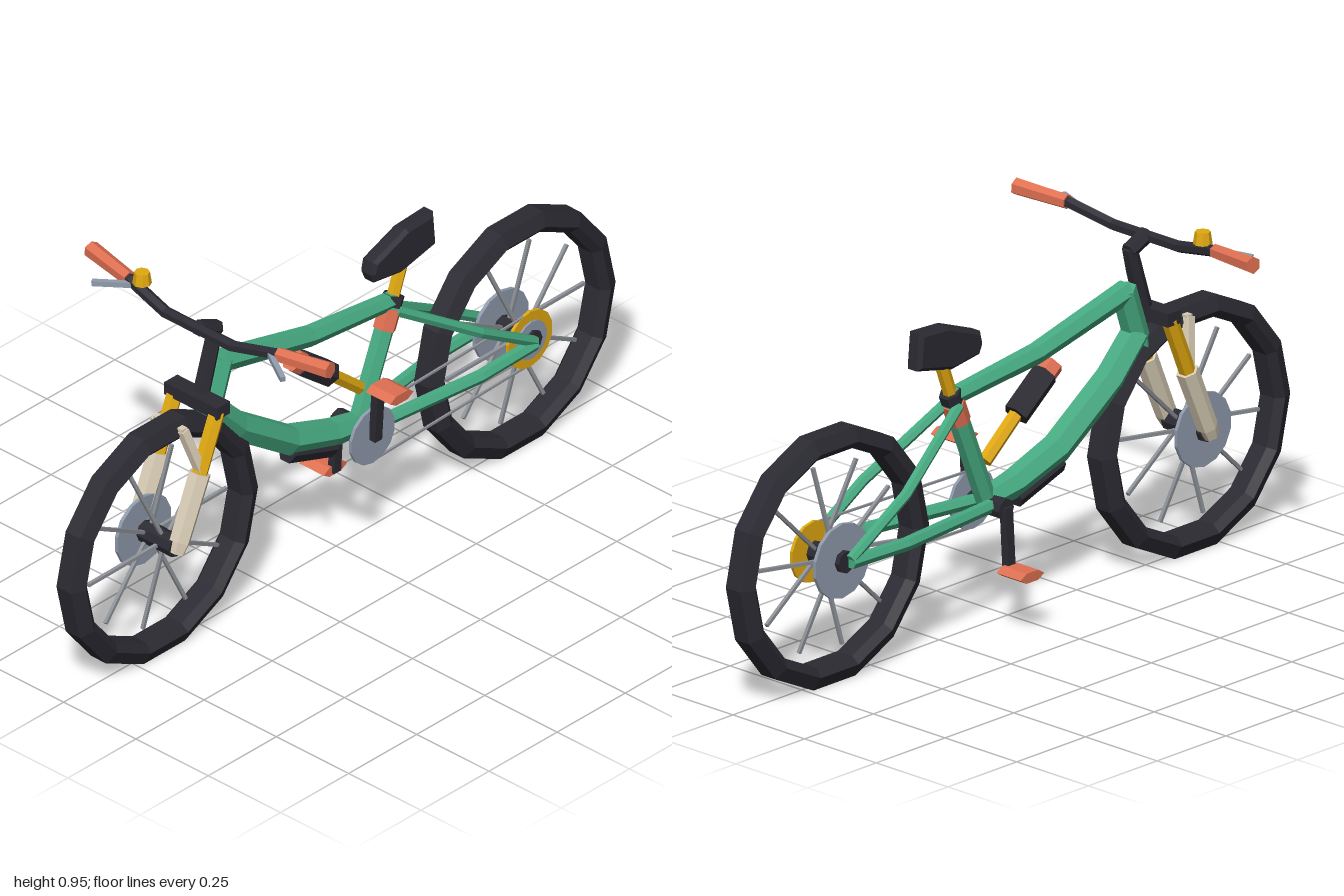
import * as THREE from 'three';

const mat = (name, color) => {
  const m = new THREE.MeshStandardMaterial({ color });
  m.name = name;
  return m;
};

export function createModel() {
  const green = mat('frame green', 0x47ab82);
  const black = mat('rubber black', 0x2b2a32);
  const orange = mat('accent orange', 0xdf6f51);
  const yellow = mat('anodised yellow', 0xe0a810);
  const cream = mat('fork cream', 0xd8ccb5);
  const silver = mat('metal silver', 0x8f9bac);
  const steel = mat('spoke steel', 0x8e9298);

  const model = new THREE.Group();
  model.name = 'bicycle';

  // Adds a mesh with faceted normals
  function add(name, geometry, material, parent = model) {
    const g = geometry.index ? geometry.toNonIndexed() : geometry;
    g.computeVertexNormals();
    const mesh = new THREE.Mesh(g, material);
    mesh.name = name;
    parent.add(mesh);
    return mesh;
  }

  // Capped faceted tube through [x, y, z] points; radius is a number or one per point.
  // Four-sided tubes are turned so that a flat side faces sideways.
  function tube(name, pts, radius, material, parent = model, sides = 6) {
    const P = pts.map(p => new THREE.Vector3(...p));
    const phase = sides === 4 ? Math.PI / 4 : 0;
    const rings = P.map((p, i) => {
      const t = P[Math.min(i + 1, P.length - 1)].clone().sub(P[Math.max(i - 1, 0)]).normalize();
      const ref = Math.abs(t.x) > 0.85 ? new THREE.Vector3(0, 1, 0) : new THREE.Vector3(1, 0, 0);
      const u = ref.addScaledVector(t, -ref.dot(t)).normalize();
      const v = t.clone().cross(u);
      const r = Array.isArray(radius) ? radius[i] : radius;
      return Array.from({ length: sides }, (_, k) => {
        const a = (k / sides) * Math.PI * 2 + phase;
        return p.clone().addScaledVector(u, r * Math.cos(a)).addScaledVector(v, r * Math.sin(a));
      });
    });
    const out = [];
    const tri = (...c) => c.forEach(p => out.push(p.x, p.y, p.z));
    const last = rings.length - 1;
    for (let k = 0; k < sides; k++) {
      const n = (k + 1) % sides;
      for (let i = 0; i < last; i++) {
        tri(rings[i][k], rings[i][n], rings[i + 1][n]);
        tri(rings[i][k], rings[i + 1][n], rings[i + 1][k]);
      }
      tri(P[0], rings[0][n], rings[0][k]);
      tri(P[last], rings[last][k], rings[last][n]);
    }
    const g = new THREE.BufferGeometry();
    g.setAttribute('position', new THREE.Float32BufferAttribute(out, 3));
    return add(name, g, material, parent);
  }

  // Disc facing sideways, from x0 to x1
  const disc = (name, x0, x1, y, z, r, material, parent, sides = 14) =>
    tube(name, [[x0, y, z], [x1, y, z]], r, material, parent, sides);

  const AXLE_Y = 0.335, AXLE_Z = 0.6565;

  // Wheels: tyre, hub, ten flared spokes and brake rotor
  function wheel(name, z) {
    const g = new THREE.Group();
    g.name = name;
    g.position.set(0, AXLE_Y, z);
    model.add(g);
    const profile = [[0.3435, -0.025], [0.3435, 0.025], [0.307, 0.043], [0.286, 0.025],
      [0.286, -0.025], [0.307, -0.043], [0.3435, -0.025]].map(p => new THREE.Vector2(...p));
    add('tyre', new THREE.LatheGeometry(profile, 14).rotateZ(Math.PI / 2), black, g);
    disc('hub', -0.068, 0.068, 0, 0, 0.03, black, g, 8);
    disc('brakeRotor', -0.054, -0.044, 0, 0, 0.1, silver, g);
    for (let i = 0; i < 10; i++) {
      const a = (6 + 36 * i) * Math.PI / 180;
      const y = Math.sin(a), dz = -Math.cos(a);
      const x = i % 2 ? 0.025 : -0.025;
      tube('spoke', [[x, y * 0.015, dz * 0.015], [0, y * 0.256, dz * 0.256]], 0.0065, steel, g, 4);
    }
    return g;
  }
  wheel('frontWheel', AXLE_Z);
  const rear = wheel('rearWheel', -AXLE_Z);
  disc('largeSprocket', 0.045, 0.054, 0, 0, 0.082, yellow, rear);
  disc('smallSprocket', 0.054, 0.06, 0, 0, 0.055, silver, rear);

  // Frame
  tube('headTube', [[0, 0.6, 0.475], [0, 0.762, 0.42]], 0.034, green);
  tube('topTube', [[0, 0.755, 0.43], [0, 0.675, 0.1], [0, 0.64, -0.21]], [0.031, 0.028, 0.024], green);
  tube('downTube', [[0, 0.635, 0.465], [0, 0.535, 0.37], [0, 0.4, 0.175], [0, 0.348, 0.02], [0, 0.33, -0.085]],
    [0.039, 0.041, 0.041, 0.038, 0.032], green);
  tube('skidPlate', [[0, 0.366, 0.18], [0, 0.311, 0.02]], 0.03, black);
  tube('seatTube', [[0, 0.32, -0.075], [0, 0.645, -0.208]], 0.027, green);
  tube('seatTubeBand', [[0, 0.568, -0.177], [0, 0.622, -0.199]], 0.031, orange);
  tube('seatClamp', [[0, 0.628, -0.201], [0, 0.654, -0.212]], 0.03, black);
  tube('seatPost', [[0, 0.64, -0.206], [0, 0.75, -0.246]], 0.018, yellow);
  for (const s of [1, -1]) {
    tube('seatStay', [[s * 0.02, 0.62, -0.2], [s * 0.075, 0.462, -0.45], [s * 0.075, 0.342, -0.65]], 0.015, green);
    tube('chainStay', [[s * 0.028, 0.325, -0.09], [s * 0.075, 0.33, -0.45], [s * 0.075, 0.335, -0.65]], 0.018, green);
  }

  // Saddle: side outline with bevelled flanks
  const outline = new THREE.Shape([[0.115, 0.765], [0.122, 0.795], [0.24, 0.84], [0.335, 0.845],
    [0.343, 0.755], [0.22, 0.728], [0.125, 0.742]].map(p => new THREE.Vector2(...p)));
  const saddle = new THREE.ExtrudeGeometry(outline, {
    depth: 0.03, bevelEnabled: true, bevelThickness: 0.01, bevelSize: 0.01, bevelOffset: -0.005, bevelSegments: 1,
  });
  add('saddle', saddle.translate(0, 0, -0.015).rotateY(Math.PI / 2), black);

  // Shock absorber
  tube('shockMount', [[0, 0.634, 0.161], [0, 0.607, 0.127]], 0.032, orange);
  tube('shockBody', [[0, 0.613, 0.134], [0, 0.53, 0.028]], 0.036, black);
  tube('shockShaft', [[0, 0.535, 0.034], [0, 0.435, -0.085]], 0.019, yellow);

  // Suspension fork
  add('forkCrown', new THREE.BoxGeometry(0.182, 0.036, 0.048), black).position.set(0, 0.682, 0.51);
  for (const s of [1, -1]) {
    tube('forkStanchion', [[s * 0.072, 0.5, 0.585], [s * 0.072, 0.675, 0.512]], 0.022, yellow);
    tube('forkLower', [[s * 0.072, 0.321, 0.663], [s * 0.072, 0.35, 0.65], [s * 0.072, 0.52, 0.576]],
      [0.022, 0.028, 0.03], cream);
    tube('forkArch', [[s * 0.075, 0.53, 0.578], [s * 0.045, 0.65, 0.61]], 0.016, cream, model, 4);
  }
  tube('archBridge', [[-0.05, 0.646, 0.608], [0.05, 0.646, 0.608]], 0.014, cream, model, 4);

  // Steering column, stem and handlebar
  tube('steerer', [[0, 0.66, 0.503], [0, 0.81, 0.458], [0, 0.868, 0.442]], [0.024, 0.022, 0.02], black);
  tube('stem', [[0, 0.858, 0.437], [0, 0.888, 0.505]], 0.022, black);
  tube('handlebar', [[-0.3, 0.917, 0.48], [-0.25, 0.912, 0.486], [-0.115, 0.884, 0.503],
    [0.115, 0.884, 0.503], [0.25, 0.912, 0.486], [0.3, 0.917, 0.48]], 0.016, black);
  for (const s of [1, -1]) {
    tube('grip', [[s * 0.258, 0.913, 0.485], [s * 0.414, 0.922, 0.46]], [0.02, 0.023], orange);
    tube('brakeLever', [[s * 0.24, 0.909, 0.496], [s * 0.33, 0.898, 0.545]], 0.01, silver, model, 4);
  }
  const bell = new THREE.CylinderGeometry(0.02, 0.025, 0.033, 8);
  add('bell', bell, yellow).position.set(-0.212, 0.938, 0.487);

  // Drivetrain
  const BB_Y = 0.32, BB_Z = -0.075;
  disc('bottomBracket', -0.066, 0.05, BB_Y, BB_Z, 0.028, black, model, 8);
  disc('crankAxle', 0.045, 0.07, BB_Y, BB_Z, 0.013, black, model, 8);
  disc('chainring', 0.049, 0.058, BB_Y, BB_Z, 0.081, silver);
  tube('chainTop', [[0.053, 0.397, BB_Z], [0.05, 0.41, -AXLE_Z]], 0.004, steel, model, 4);
  tube('chainBottom', [[0.053, 0.243, BB_Z], [0.05, 0.258, -AXLE_Z]], 0.004, steel, model, 4);
  for (const s of [1, -1]) {
    const arm = add('crankArm', new THREE.BoxGeometry(0.022, 0.17, 0.026), black);
    arm.position.set(s * 0.071, BB_Y + s * 0.078, BB_Z);
    arm.rotation.z = -0.06;
    const pedal = new THREE.CylinderGeometry(1, 1, 0.085, 6).rotateZ(Math.PI / 2).scale(1, 0.0155, 0.043);
    add('pedal', pedal, orange).position.set(s * 0.115, BB_Y + s * 0.157, BB_Z);
  }

  return model;
}
